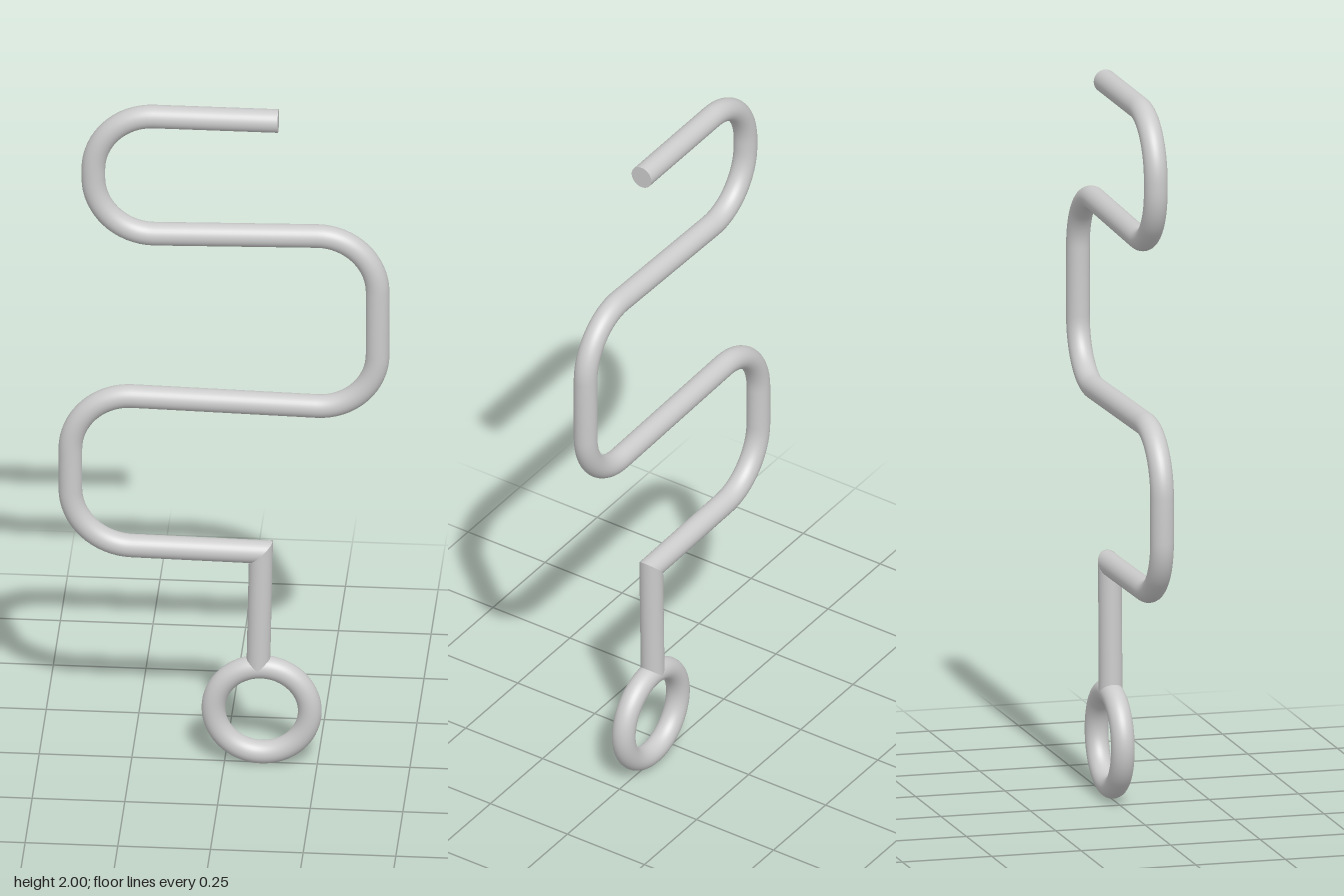
import * as THREE from 'three';

const R = 0.032, SIDES = 32;
const V = (x, y) => new THREE.Vector2(x, y);

// Round pipe swept along points in the xy plane; endCuts give optional mitre directions
function pipe(points, startCut, endCut) {
  const pos = [], nor = [], idx = [];
  const last = points.length - 1;
  points.forEach((p, i) => {
    const dIn = points[i].clone().sub(points[Math.max(i - 1, 0)]).normalize();
    const dOut = points[Math.min(i + 1, last)].clone().sub(p).normalize();
    const t = dIn.add(dOut).normalize();
    const side = V(-t.y, t.x);
    const cut = i === 0 ? startCut : i === last ? endCut : null;
    // A mitred end is stretched along its cut plane
    const across = cut ? cut.clone().divideScalar(cut.dot(side)) : side;
    for (let k = 0; k <= SIDES; k++) {
      const a = (k / SIDES) * Math.PI * 2, c = Math.cos(a), s = Math.sin(a);
      pos.push(p.x + across.x * c * R, p.y + across.y * c * R, s * R);
      nor.push(side.x * c, side.y * c, s);
      if (i < last && k < SIDES) {
        const q = i * (SIDES + 1) + k, n = q + SIDES + 1;
        idx.push(q, q + 1, n, q + 1, n + 1, n);
      }
    }
  });
  const g = new THREE.BufferGeometry();
  g.setAttribute('position', new THREE.Float32BufferAttribute(pos, 3));
  g.setAttribute('normal', new THREE.Float32BufferAttribute(nor, 3));
  g.setIndex(idx);
  return g;
}

export function createModel() {
  const group = new THREE.Group();
  const mat = new THREE.MeshStandardMaterial({ color: 0xcccccc, side: THREE.DoubleSide });
  const add = (name, geo, x = 0, y = 0) => {
    const m = new THREE.Mesh(geo, mat);
    m.name = name;
    m.position.set(x, y, 0);
    group.add(m);
    return m;
  };

  // Each bend: start, sharp corner, end
  const bends = [
    [V(-0.19, 1.968), V(-0.354, 1.968), V(-0.354, 1.8)],
    [V(-0.354, 1.775), V(-0.354, 1.607), V(-0.19, 1.609)],
    [V(0.25, 1.62), V(0.413, 1.622), V(0.413, 1.455)],
    [V(0.413, 1.265), V(0.413, 1.097), V(0.25, 1.099)],
    [V(-0.25, 1.109), V(-0.416, 1.11), V(-0.416, 0.94)],
    [V(-0.416, 0.82), V(-0.416, 0.653), V(-0.25, 0.651)],
  ];
  const tip = V(0.145, 1.968), elbow = V(0.098, 0.646), foot = V(0.091, 0.29);
  const path = new THREE.Path().moveTo(tip.x, tip.y);
  for (const [a, corner, b] of bends) {
    const c1 = a.clone().lerp(corner, 0.5523), c2 = b.clone().lerp(corner, 0.5523);
    path.lineTo(a.x, a.y);
    path.bezierCurveTo(c1.x, c1.y, c2.x, c2.y, b.x, b.y);
  }
  path.lineTo(elbow.x, elbow.y);

  // Serpentine rod and stem meet in a mitred elbow
  const mitre = V(1, 1).normalize();
  add('serpentineRod', pipe(path.getPoints(16), null, mitre));
  add('stem', pipe([elbow, foot], mitre, null));

  // End caps
  const disc = new THREE.CircleGeometry(R, SIDES);
  add('rodEndCap', disc, tip.x, tip.y).rotation.y = Math.PI / 2;
  add('stemEndCap', disc, foot.x, foot.y).rotation.x = Math.PI / 2;

  // Ring at the bottom
  add('ring', new THREE.TorusGeometry(0.13, R, SIDES, 72), 0.1, 0.164);
  return group;
}
